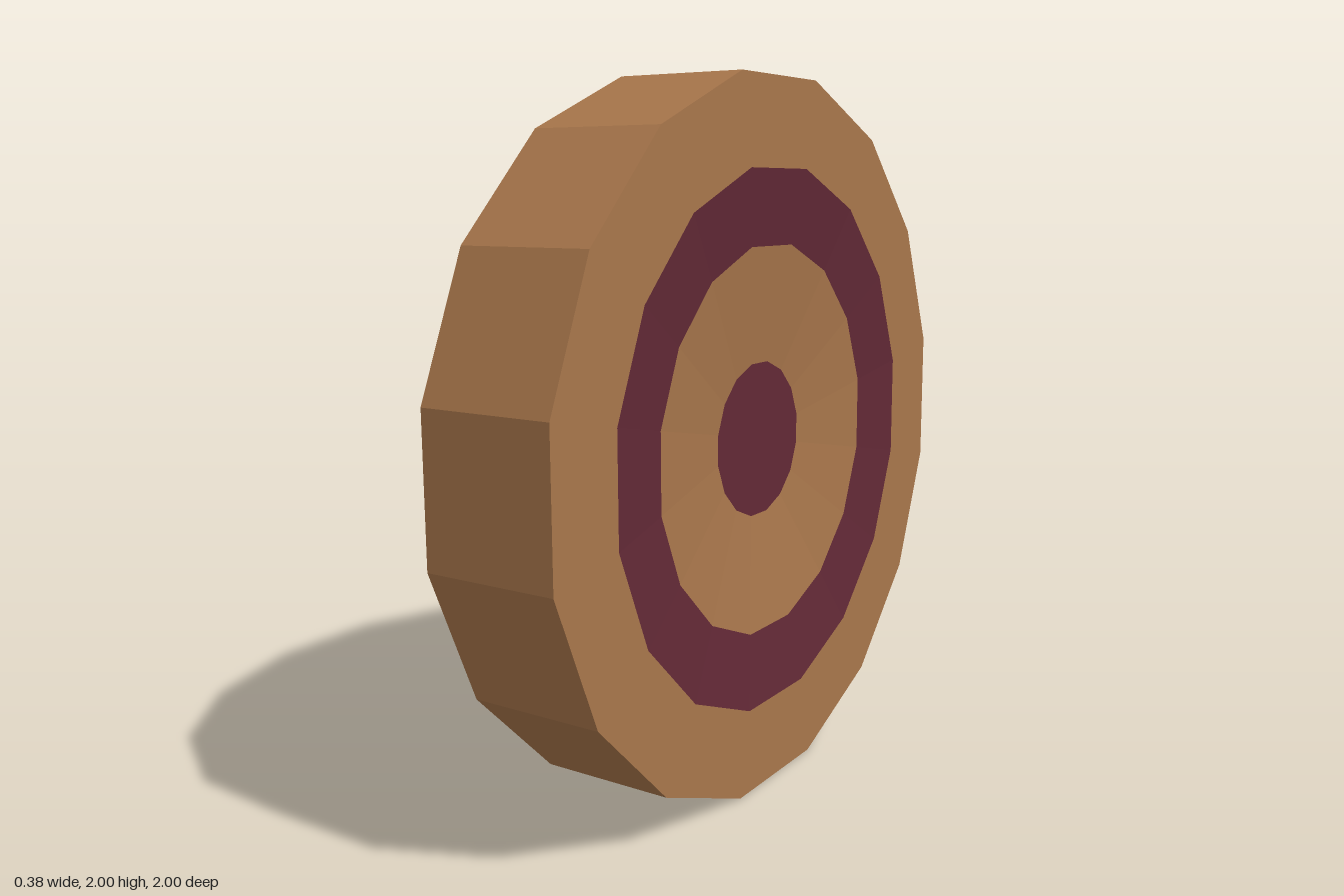
import * as THREE from 'three';

const SIDES = 16;
const wood = new THREE.MeshStandardMaterial({ color: 0xa8764b, flatShading: true });
const paint = new THREE.MeshStandardMaterial({ color: 0x622936, flatShading: true });

// Sixteen-sided ring around the x axis; profile points are [radius, x]
function ring(name, profile, material) {
  const points = profile.map(([r, x]) => new THREE.Vector2(r, x));
  const geometry = new THREE.LatheGeometry(points, SIDES, Math.PI / SIDES);
  geometry.rotateZ(-Math.PI / 2);
  const mesh = new THREE.Mesh(geometry, material);
  mesh.name = name;
  return mesh;
}

// Painted face, dished slightly toward a flat bullseye
function targetFace(name) {
  const face = new THREE.Group();
  face.name = name;
  const outer = [0.77, 0.192], inner = [0.556, 0.169], hub = [0.222, 0.13];
  face.add(
    ring('outerBand', [outer, inner], paint),
    ring('innerDish', [inner, hub], wood),
    ring('bullseye', [hub, [0, 0.13]], paint)
  );
  return face;
}

export function createModel() {
  const model = new THREE.Group();
  model.name = 'roundTarget';

  // Solid rim with its flat borders
  const R = 1 / Math.cos(Math.PI / SIDES);
  const rim = ring('rim', [[0.77, -0.192], [R, -0.192], [R, 0.192], [0.77, 0.192]], wood);

  // The same face on both sides
  const leftFace = targetFace('leftFace');
  const rightFace = targetFace('rightFace');
  rightFace.rotation.y = Math.PI;

  const disc = new THREE.Group();
  disc.name = 'disc';
  disc.position.y = 1;
  disc.add(rim, leftFace, rightFace);
  model.add(disc);
  return model;
}
